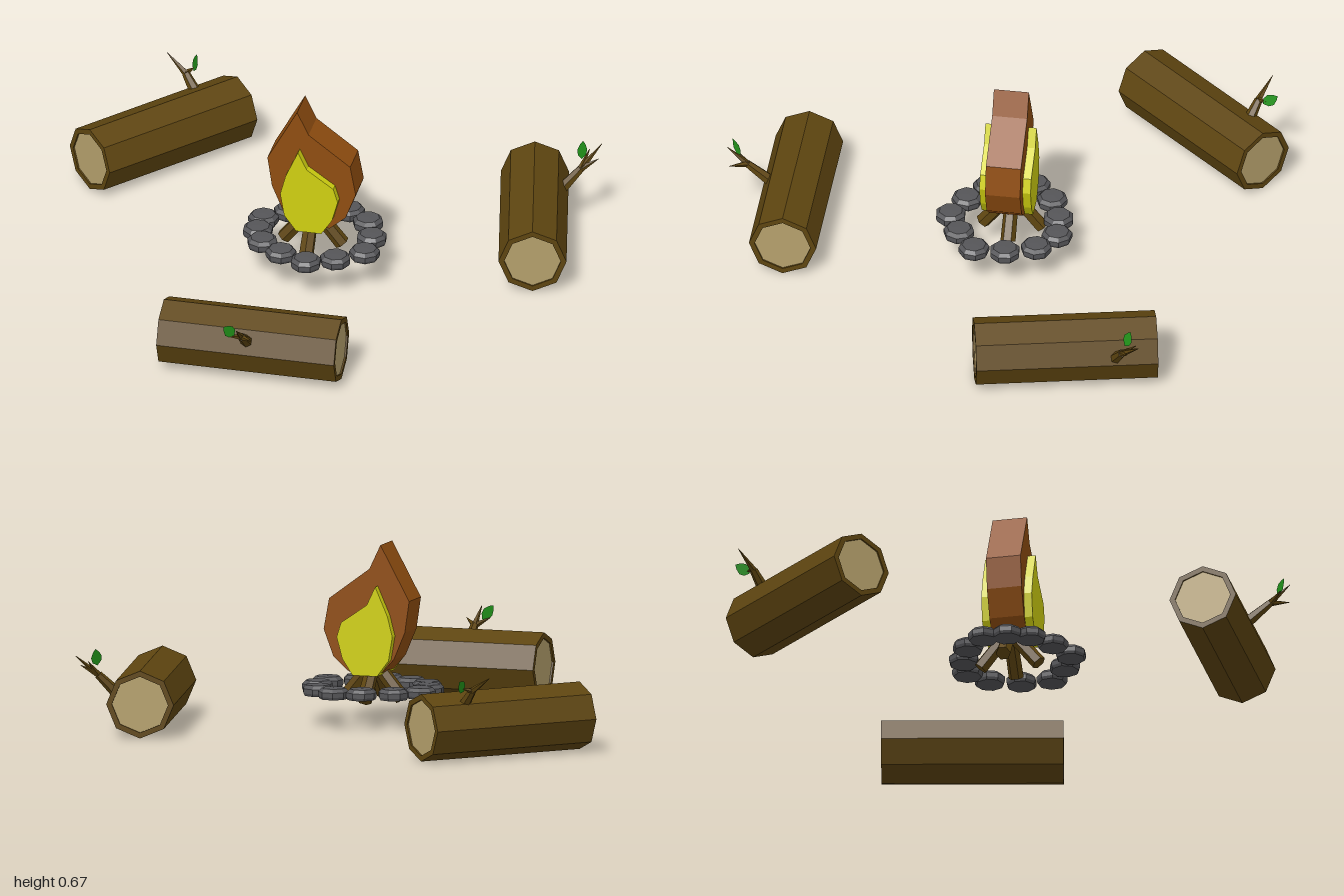
import * as THREE from 'three';

const mat = (color, extra = {}) => new THREE.MeshStandardMaterial({ color, flatShading: true, ...extra });
const bark = mat(0x5e4510, { side: THREE.DoubleSide });
const wood = mat(0xb5a06c);
const stoneMat = mat(0x555558);
const orange = mat(0x8f4d10);
const yellow = mat(0xd0d010);
const green = mat(0x22941a, { side: THREE.DoubleSide });
const V = (a) => new THREE.Vector3(...a);

function add(parent, name, geometry, material) {
  const mesh = new THREE.Mesh(geometry, material);
  mesh.name = name;
  parent.add(mesh);
  return mesh;
}

// Tapered stick between two points
function stick(parent, name, from, to, r0, r1, sides = 6) {
  const a = V(from), d = V(to).sub(a);
  const mesh = add(parent, name, new THREE.CylinderGeometry(r1, r0, d.length(), sides), bark);
  mesh.position.copy(a).addScaledVector(d, 0.5);
  mesh.quaternion.setFromUnitVectors(new THREE.Vector3(0, 1, 0), d.normalize());
}

// Flat pointed leaf, from stem point along a direction
function leaf(parent, stem, direction, normal) {
  const s = new THREE.Shape();
  s.moveTo(0, 0);
  [[0.018, 0.015], [0.022, 0.035], [0.012, 0.055], [0, 0.068],
    [-0.012, 0.055], [-0.022, 0.035], [-0.018, 0.015]].forEach(([x, y]) => s.lineTo(x, y));
  const mesh = add(parent, 'leaf', new THREE.ShapeGeometry(s), green);
  const y = V(direction).normalize();
  const x = y.clone().cross(V(normal)).normalize();
  const z = x.clone().cross(y);
  mesh.quaternion.setFromRotationMatrix(new THREE.Matrix4().makeBasis(x, y, z));
  mesh.position.copy(V(stem));
}

// Eight-sided seat log with inset wooden ends
function seatLog(parent, name, x, z, angle) {
  const log = new THREE.Group();
  log.name = name;
  const h = 0.335, r = 0.125, ri = 0.104, inset = 0.006;
  const profile = [[ri, -h + inset], [ri, -h], [r, -h], [r, h], [ri, h], [ri, h - inset]];
  add(log, 'bark', new THREE.LatheGeometry(profile.map((p) => new THREE.Vector2(...p)), 8), bark);
  add(log, 'cutEnds', new THREE.CylinderGeometry(ri, ri, 2 * (h - inset), 8), wood);
  log.rotation.set(0, angle, Math.PI / 2);
  log.position.set(x, r, z);
  parent.add(log);
}

// Side branch with twigs and one leaf
function branch(parent, name, { base, fork, tips, stem, dir, normal }) {
  const g = new THREE.Group();
  g.name = name;
  stick(g, 'branchStem', base, fork, 0.024, 0.015);
  tips.forEach((t) => stick(g, 'twig', fork, t, 0.013, 0.001, 5));
  leaf(g, stem, dir, normal);
  parent.add(g);
}

// Flat flame cut-out between two depths
function flame(parent, name, points, back, front, material) {
  const shape = new THREE.Shape(points.map((p) => new THREE.Vector2(...p)));
  const geometry = new THREE.ExtrudeGeometry(shape, { depth: front - back, bevelEnabled: false });
  add(parent, name, geometry, material).position.z = back;
}

export function createModel() {
  const root = new THREE.Group();
  root.name = 'campfire';

  // Seat logs
  seatLog(root, 'frontLog', -0.01, 0.745, 0);
  seatLog(root, 'backRightLog', -0.675, -0.67, Math.atan2(95, 82.5));
  seatLog(root, 'leftLog', 0.79, -0.375, Math.atan2(-123.5, 27));

  // Branches
  branch(root, 'frontBranch', {
    base: [-0.01, 0.16, 0.83], fork: [-0.01, 0.235, 0.925],
    tips: [[-0.055, 0.26, 0.975], [-0.013, 0.3, 1.0], [0.042, 0.255, 0.985]],
    stem: [-0.03, 0.255, 0.955], dir: [-0.5, 0.75, 0.5], normal: [1, 0, 1],
  });
  branch(root, 'backRightBranch', {
    base: [-0.585, 0.19, -0.845], fork: [-0.64, 0.265, -0.88],
    tips: [[-0.72, 0.32, -0.92], [-0.615, 0.275, -0.91]],
    stem: [-0.615, 0.265, -0.9], dir: [0, 0.6, -0.8], normal: [1, 0.25, 0.15],
  });
  branch(root, 'leftBranch', {
    base: [0.84, 0.13, -0.565], fork: [0.915, 0.215, -0.605],
    tips: [[0.978, 0.29, -0.675], [0.975, 0.25, -0.63], [0.935, 0.27, -0.66]],
    stem: [0.915, 0.25, -0.615], dir: [0, 1, -0.35], normal: [1, 0, 1],
  });

  // Ring of stones
  const ring = new THREE.Group();
  ring.name = 'stoneRing';
  const centres = [[-0.09, -0.195], [0.02, -0.235], [0.125, -0.245], [0.21, -0.18],
    [0.25, -0.07], [0.25, 0.045], [0.155, 0.115], [0.055, 0.16], [-0.05, 0.115],
    [-0.135, 0.05], [-0.17, -0.03], [-0.17, -0.12]];
  const profile = [[0, 0.115], [0.052, 0.115], [0.057, 0.125], [0.057, 0.142], [0.044, 0.155], [0, 0.157]];
  const stone = new THREE.LatheGeometry(profile.map((p) => new THREE.Vector2(...p)), 8);
  centres.forEach(([x, z], i) => {
    const mesh = add(ring, 'stone', stone, stoneMat);
    mesh.position.set(x, 0, z);
    mesh.rotation.y = i * 0.52;
  });
  root.add(ring);

  // Leaning firewood
  const fire = new THREE.Group();
  fire.name = 'fire';
  for (let i = 0; i < 4; i++) {
    const c = Math.cos(i * Math.PI / 2), s = Math.sin(i * Math.PI / 2);
    stick(fire, 'firewood', [0.03 + 0.11 * c, 0.1, -0.065 + 0.11 * s],
      [0.03 - 0.01 * c, 0.25, -0.065 - 0.01 * s], 0.028, 0.025);
  }

  // Flames
  flame(fire, 'outerFlame', [[-0.013, 0.674], [-0.125, 0.47], [-0.108, 0.353], [-0.066, 0.253],
    [-0.02, 0.2], [0.11, 0.2], [0.17, 0.253], [0.208, 0.353], [0.187, 0.468], [0.03, 0.584]],
  -0.12, 0.01, orange);
  flame(fire, 'innerFlame', [[-0.003, 0.522], [-0.05, 0.416], [-0.07, 0.34], [-0.055, 0.25],
    [-0.01, 0.19], [0.085, 0.19], [0.125, 0.25], [0.147, 0.33], [0.13, 0.384], [0.03, 0.453]],
  -0.15, 0.04, yellow);
  root.add(fire);
  return root;
}
